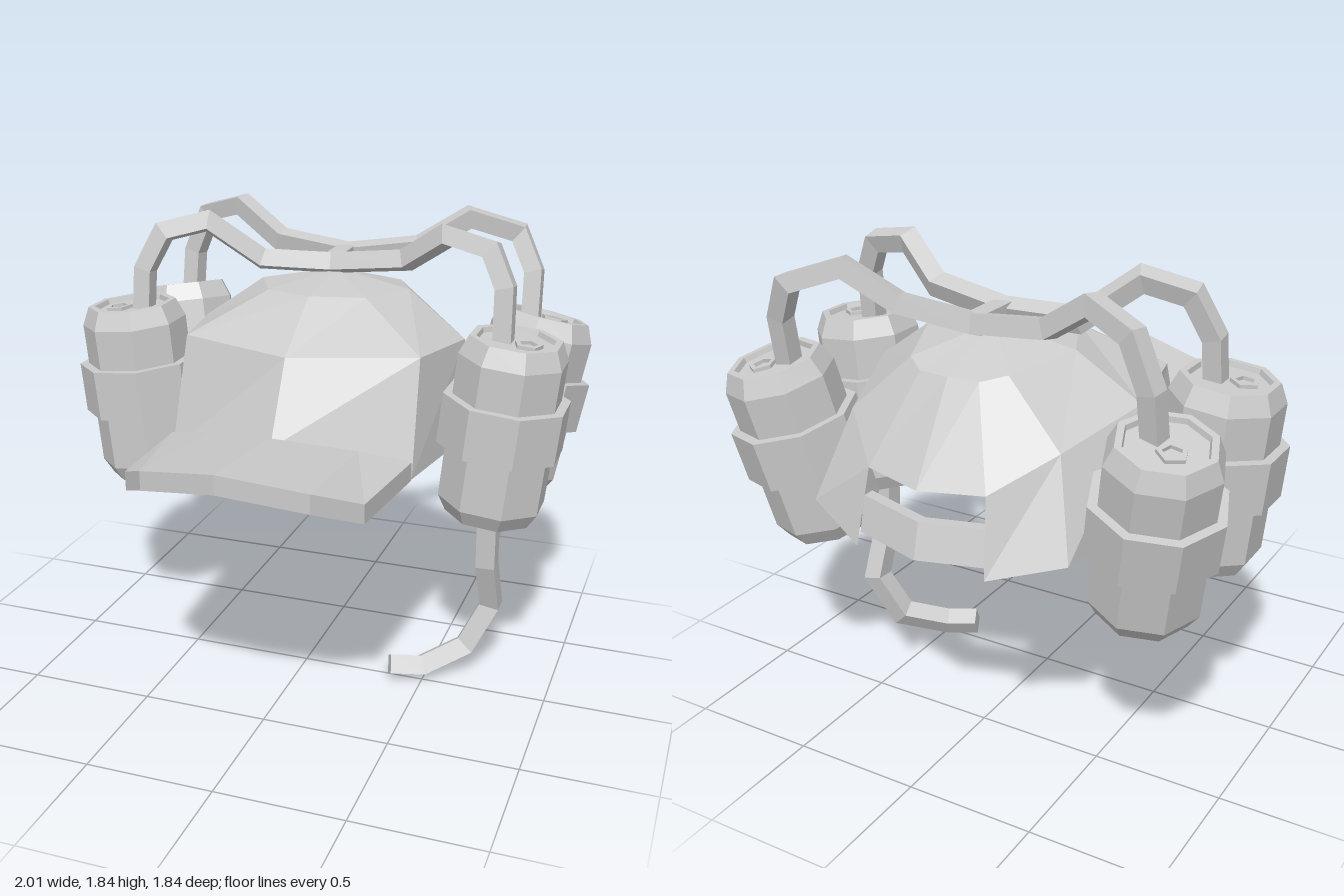
import * as THREE from 'three';

const grey = new THREE.MeshStandardMaterial({ color: 0xcccccc, flatShading: true });
const greyThin = new THREE.MeshStandardMaterial({ color: 0xcccccc, flatShading: true, side: THREE.DoubleSide });
const V = (p) => new THREE.Vector3(...p);
const mirror = ([x, y, z]) => [-x, y, z];

function add(parent, name, geometry, material = grey) {
  const mesh = new THREE.Mesh(geometry, material);
  mesh.name = name;
  parent.add(mesh);
  return mesh;
}

// Joins closed cross-sections (counter-clockwise about the travel direction)
function loft(rings, { caps = true, skip = () => false } = {}) {
  const pos = [];
  const tri = (...pts) => pts.forEach((p) => pos.push(...p));
  const n = rings[0].length;
  for (let i = 0; i < rings.length - 1; i++) {
    for (let j = 0; j < n; j++) {
      if (skip(i, j)) continue;
      const k = (j + 1) % n;
      const [a, b, c, d] = [rings[i][j], rings[i][k], rings[i + 1][k], rings[i + 1][j]];
      tri(a, b, c);
      tri(a, c, d);
    }
  }
  if (caps) {
    const first = rings[0], last = rings[rings.length - 1];
    for (let j = 1; j < n - 1; j++) {
      tri(first[0], first[j + 1], first[j]);
      tri(last[0], last[j], last[j + 1]);
    }
  }
  const g = new THREE.BufferGeometry();
  g.setAttribute('position', new THREE.Float32BufferAttribute(pos, 3));
  g.computeVertexNormals();
  return g;
}

// Square hose with mitred bends
function hoseGeometry(path, half = 0.035) {
  const pts = path.map(V);
  const dirs = pts.slice(1).map((p, i) => p.clone().sub(pts[i]).normalize());
  const ref = Math.abs(dirs[0].z) > 0.8 ? V([1, 0, 0]) : V([0, 0, 1]);
  const u = ref.clone().addScaledVector(dirs[0], -ref.dot(dirs[0])).normalize();
  const v = dirs[0].clone().cross(u);
  let ring = [[1, 1], [-1, 1], [-1, -1], [1, -1]].map(([a, b]) =>
    pts[0].clone().addScaledVector(u, a * half).addScaledVector(v, b * half));
  const rings = [ring];
  for (let i = 1; i < pts.length; i++) {
    const d = dirs[i - 1];
    const plane = d.clone().add(dirs[i] || d).normalize();
    ring = ring.map((p) => p.clone().addScaledVector(d, pts[i].clone().sub(p).dot(plane) / d.dot(plane)));
    rings.push(ring);
  }
  return loft(rings.map((r) => r.map((p) => p.toArray())));
}

function lathe(profile, sides) {
  return new THREE.LatheGeometry(profile.map(([r, y]) => new THREE.Vector2(r, y)), sides, Math.PI / sides);
}

// Drink can in its ring holder, placed along an axis from bottom to top
function makeCan(name, bottom, top, yaw, openingX, openingZ) {
  const can = new THREE.Group();
  can.name = name;
  const a = V(bottom), b = V(top);
  can.position.copy(a).add(b).multiplyScalar(0.5);
  can.quaternion.setFromUnitVectors(V([0, 1, 0]), b.sub(a).normalize());
  const body = add(can, 'canBody', lathe([
    [0, -0.358], [0.175, -0.358], [0.21, -0.295], [0.21, 0.285],
    [0.178, 0.358], [0.152, 0.358], [0.147, 0.338], [0, 0.338]], 8));
  const holder = add(can, 'canHolder', lathe([[0.2, -0.075], [0.246, -0.075], [0.246, 0.125], [0.2, 0.125]], 8));
  body.rotation.y = holder.rotation.y = yaw;
  const opening = add(can, 'canOpening', lathe([[0.056, 0], [0.056, 0.014], [0.036, 0.014], [0.036, 0]], 5));
  opening.position.set(openingX, 0.338, openingZ);
  return can;
}

export function createModel() {
  const model = new THREE.Group();
  model.name = 'drinkingHat';

  // Crown: rows from hem to apex, left half listed from front centre to back centre
  const rows = [
    [[0, 1.08, 0.4], [0.485, 0.95, 0.205], [0.57, 0.945, -0.35], [0.53, 0.94, -0.785], [0.265, 0.865, -0.89], [0, 0.87, -0.92]],
    [[0, 1.38, 0.24], [0.47, 1.38, 0.075], [0.55, 1.36, -0.3], [0.43, 1.28, -0.66], [0.24, 1.15, -0.83], [0, 1.14, -0.89]],
    [[0, 1.55, -0.02], [0.2, 1.54, -0.11], [0.31, 1.53, -0.34], [0.2, 1.5, -0.61], [0.12, 1.48, -0.67], [0, 1.48, -0.68]],
    Array(6).fill([0, 1.59, -0.36]),
  ].map((half) => [...half, ...half.slice(1, 5).reverse().map(mirror)]);
  // the two back panels of the lowest row stay open
  add(model, 'crown', loft(rows, { caps: false, skip: (i, j) => i === 0 && (j === 4 || j === 5) }), greyThin);

  // Brim: arched slab, [back, front] edge points from the right side to the centre
  const brimHalf = [
    [[-0.485, 1.02, 0.21], [-0.45, 1.035, 0.68]],
    [[-0.3, 1.065, 0.28], [-0.31, 1.115, 0.84]],
    [[0, 1.12, 0.4], [0, 1.17, 0.915]],
  ];
  const brim = [...brimHalf, ...brimHalf.slice(0, 2).reverse().map((s) => s.map(mirror))];
  const drop = ([x, y, z]) => [x, y - 0.073, z];
  add(model, 'brim', loft(brim.map(([b, f]) => [b, f, drop(f), drop(b)])));

  // Strap across the back opening, its ends tucked inside the crown
  const strap = [[-0.29, -0.835], [0, -0.92], [0.29, -0.835]];
  add(model, 'backStrap', loft(strap.map(([x, z]) => [
    [x, 1.02, z + 0.035], [x, 1.02, z + 0.08], [x, 0.89, z + 0.045], [x, 0.89, z]])));

  // Cans, two on each side
  for (const [side, s] of [['left', 1], ['right', -1]]) {
    model.add(makeCan(side + 'FrontCan', [0.72 * s, 0.73, -0.1], [0.79 * s, 1.44, -0.095], 0, 0.05 * s, 0.02));
    model.add(makeCan(side + 'RearCan', [0.68 * s, 0.7, -0.515], [0.805 * s, 1.4, -0.64], 0.4 * s, 0.035 * s, -0.03));
  }

  // Drinking hoses over the crown
  add(model, 'frontHose', hoseGeometry([
    [0.74, 1.38, -0.1], [0.735, 1.62, -0.12], [0.67, 1.75, -0.15], [0.49, 1.785, -0.19], [0.31, 1.66, -0.275],
    [0, 1.62, -0.31], [-0.29, 1.62, -0.285], [-0.49, 1.775, -0.2], [-0.66, 1.73, -0.15], [-0.735, 1.58, -0.12], [-0.74, 1.38, -0.1]]));
  add(model, 'rearHose', hoseGeometry([
    [0.75, 1.34, -0.61], [0.745, 1.57, -0.65], [0.67, 1.715, -0.685], [0.48, 1.78, -0.605], [0.29, 1.66, -0.54],
    [0, 1.62, -0.5], [-0.3, 1.655, -0.52], [-0.49, 1.78, -0.565], [-0.67, 1.725, -0.635], [-0.745, 1.55, -0.64], [-0.75, 1.34, -0.61]]));
  add(model, 'hoseConnector', hoseGeometry([[0, 1.62, -0.3], [0, 1.62, -0.52]]));

  // Mouthpiece hose below the left front can
  add(model, 'mouthHose', hoseGeometry([
    [0.72, 0.76, -0.1], [0.72, 0.5, -0.115], [0.73, 0.29, -0.19], [0.64, 0.105, -0.14],
    [0.49, 0.045, -0.02], [0.37, 0.055, 0.03]], 0.038));

  return model;
}
